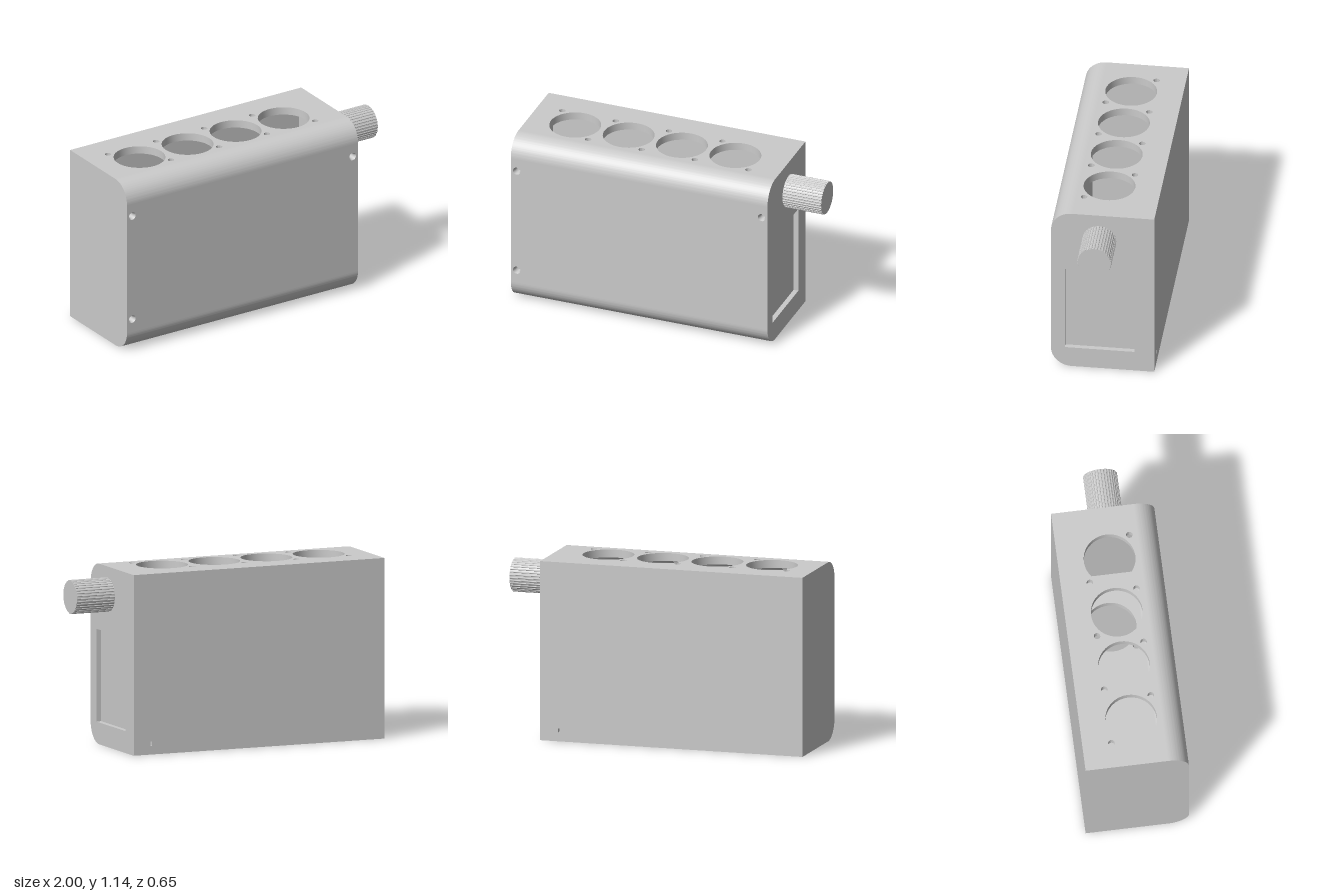
import * as THREE from 'three';
import { toCreasedNormals } from 'three/addons/utils/BufferGeometryUtils.js';

const X0 = -1, X1 = 0.72, H = 1.14, D = 0.325, R = 0.13, T = 0.05;
const LEN = X1 - X0;

export function createModel() {
  const model = new THREE.Group();
  const mat = new THREE.MeshStandardMaterial({ color: 0xcccccc });
  const thin = new THREE.MeshStandardMaterial({ color: 0xcccccc, side: THREE.DoubleSide });

  const add = (name, geometry, parent = model, material = mat) => {
    const mesh = new THREE.Mesh(geometry, material);
    mesh.name = name;
    parent.add(mesh);
    return mesh;
  };
  const extrude = (shape, depth) => toCreasedNormals(
    new THREE.ExtrudeGeometry(shape, { depth, bevelEnabled: false, curveSegments: 24 }), 0.6);

  // Outline helpers
  const rect = (x0, y0, x1, y1, S = THREE.Shape) => new S(
    [[x0, y0], [x1, y0], [x1, y1], [x0, y1]].map(p => new THREE.Vector2(...p)));
  const circle = (x, y, r) => new THREE.Path().absarc(x, y, r, 0, Math.PI * 2, true);
  const slot = (x, y, half, r) => {
    const p = new THREE.Path();
    p.absarc(x + half - r, y, r, -Math.PI / 2, Math.PI / 2, false);
    p.absarc(x - half + r, y, r, Math.PI / 2, Math.PI * 1.5, false);
    p.closePath();
    return p;
  };

  // Orientation helpers: horizontal plates use (x, z), end walls use (z, y)
  const horizontal = (shape, top) => extrude(shape, T).rotateX(Math.PI / 2).translate(0, top, 0);
  const sideways = (shape, depth, xRight) => extrude(shape, depth).rotateY(-Math.PI / 2).translate(xRight, 0, 0);

  // Top plate with four round openings, each with two screw holes
  const top = rect(X0, -D, X1, D - R);
  for (const x of [-0.695, -0.337, 0.02, 0.378]) {
    top.holes.push(circle(x, 0, 0.162), circle(x - 0.142, -0.142, 0.02), circle(x + 0.142, 0.142, 0.02));
  }
  add('topPlate', horizontal(top, H));

  // Bottom plate with one round opening, two slots and fixing holes
  const bottom = rect(X0, -D, X1, D - R);
  bottom.holes.push(
    circle(0.32, 0, 0.162), circle(0.462, -0.142, 0.02), circle(0.178, 0.142, 0.02),
    slot(-0.75, -0.152, 0.09, 0.038), slot(-0.277, -0.152, 0.05, 0.028),
    circle(0.685, -0.185, 0.022), circle(-0.96, -0.185, 0.022));
  add('bottomPlate', horizontal(bottom, T));

  // Front plate with three countersunk screw holes
  const screws = [[-0.96, 0.925], [0.68, 0.925], [-0.96, 0.218]];
  const front = rect(X0, R, X1, H - R);
  for (const [x, y] of screws) front.holes.push(circle(x, y, 0.025));
  add('frontPlate', extrude(front, T).translate(0, 0, D - T));
  for (const [x, y] of screws) {
    const profile = [[0.018, 0], [0.018, 0.03], [0.025, T]].map(p => new THREE.Vector2(...p));
    add('screwCountersink', new THREE.LatheGeometry(profile, 32).rotateX(Math.PI / 2)
      .translate(x, y, D - T), model, thin);
  }

  // Back plate with a tiny upright slot
  const back = rect(X0, T, X1, H - T);
  back.holes.push(rect(0.595, 0.045 + 0.01, 0.605, 0.082, THREE.Path));
  add('backPlate', extrude(back, T).translate(0, 0, -D));

  // Rounded front edges
  for (const [name, y, a] of [['topFrontEdge', H - R, 0], ['bottomFrontEdge', R, -Math.PI / 2]]) {
    const arc = new THREE.Shape();
    arc.absarc(D - R, y, R, a, a + Math.PI / 2, false);
    arc.absarc(D - R, y, R - T, a + Math.PI / 2, a, true);
    arc.closePath();
    add(name, sideways(arc, LEN, X1));
  }

  // End walls fitted inside the shell
  const wall = () => {
    const s = new THREE.Shape();
    const r = R - T, zf = D - R;
    s.moveTo(-D + T, T);
    s.lineTo(zf, T);
    s.absarc(zf, R, r, -Math.PI / 2, 0, false);
    s.absarc(zf, H - R, r, 0, Math.PI / 2, false);
    s.lineTo(-D + T, H - T);
    s.closePath();
    return s;
  };
  add('rightWall', sideways(wall(), T, X0 + T));
  const knobWall = wall();
  knobWall.holes.push(rect(-0.202, 0.138, 0.238, 0.723, THREE.Path), circle(0.018, 0.972, 0.04));
  add('leftWall', sideways(knobWall, T, X1));
  add('recessedPanel', new THREE.BoxGeometry(0.018, 0.585, 0.44).translate(X1 - T + 0.009, 0.4305, 0.018));

  // Ribbed knob beside the wall
  const knob = new THREE.Group();
  knob.name = 'knob';
  knob.position.set(0.87, 0.972, 0.018);
  model.add(knob);
  add('knobCore', new THREE.CylinderGeometry(0.103, 0.103, 0.26, 64).rotateZ(-Math.PI / 2), knob);
  const ribs = 36;
  for (let i = 0; i < ribs; i++) {
    const a = (i / ribs) * Math.PI * 2;
    add('knobRib', new THREE.CylinderGeometry(0.005, 0.005, 0.256, 8).rotateZ(-Math.PI / 2)
      .translate(0, Math.cos(a) * 0.102, Math.sin(a) * 0.102), knob);
  }
  return model;
}
